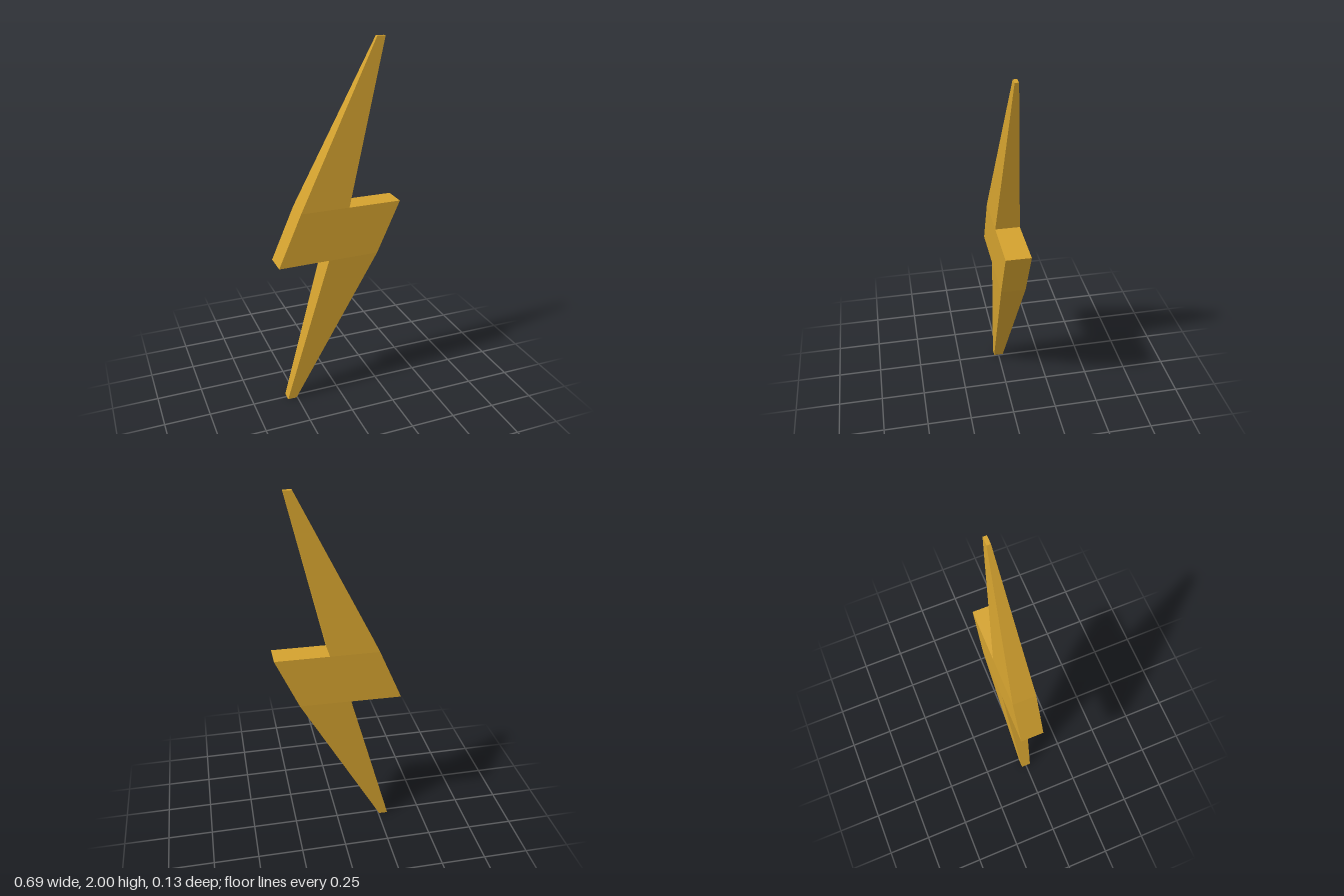
import * as THREE from 'three';

// Cross-sections along the bolt: left/right ends [x, y] and half depth d
const tip = { a: [0.213, 2], b: [0.258, 2], d: 0.01 };
const upperRoot = { a: [-0.217, 1.14], b: [0.05, 1.14], d: 0.065 };
const barTop = { a: [-0.217, 1.14], b: [0.342, 1.14], d: 0.065 };
const barBottom = { a: [-0.343, 0.85], b: [0.215, 0.855], d: 0.065 };
const lowerRoot = { a: [-0.065, 0.8525], b: [0.215, 0.855], d: 0.065 };
const foot = { a: [-0.305, 0], b: [-0.255, 0], d: 0.028 };

// Four corners of a section: front left, front right, back right, back left
const corners = ({ a, b, d }) => [[...a, d], [...b, d], [...b, -d], [...a, -d]];

// Closed prism lofted between two sections, with flat faces
function loft(top, bottom, capTop, capBottom) {
  const t = corners(top), b = corners(bottom), pos = [];
  const quad = (p, q, r, s) => pos.push(...p, ...q, ...r, ...p, ...r, ...s);
  for (let i = 0; i < 4; i++) {
    const j = (i + 1) % 4;
    quad(b[i], b[j], t[j], t[i]);
  }
  if (capTop) quad(t[0], t[1], t[2], t[3]);
  if (capBottom) quad(b[3], b[2], b[1], b[0]);
  const geo = new THREE.BufferGeometry();
  geo.setAttribute('position', new THREE.Float32BufferAttribute(pos, 3));
  geo.computeVertexNormals();
  return geo;
}

export function createModel() {
  const group = new THREE.Group();
  group.name = 'lightningBolt';
  const gold = new THREE.MeshStandardMaterial({ color: 0xd4a22f });
  gold.name = 'gold';

  const add = (name, geo) => {
    const mesh = new THREE.Mesh(geo, gold);
    mesh.name = name;
    group.add(mesh);
  };
  add('upperBlade', loft(tip, upperRoot, true, false));
  add('middleBar', loft(barTop, barBottom, true, true));
  add('lowerBlade', loft(lowerRoot, foot, false, true));
  return group;
}
